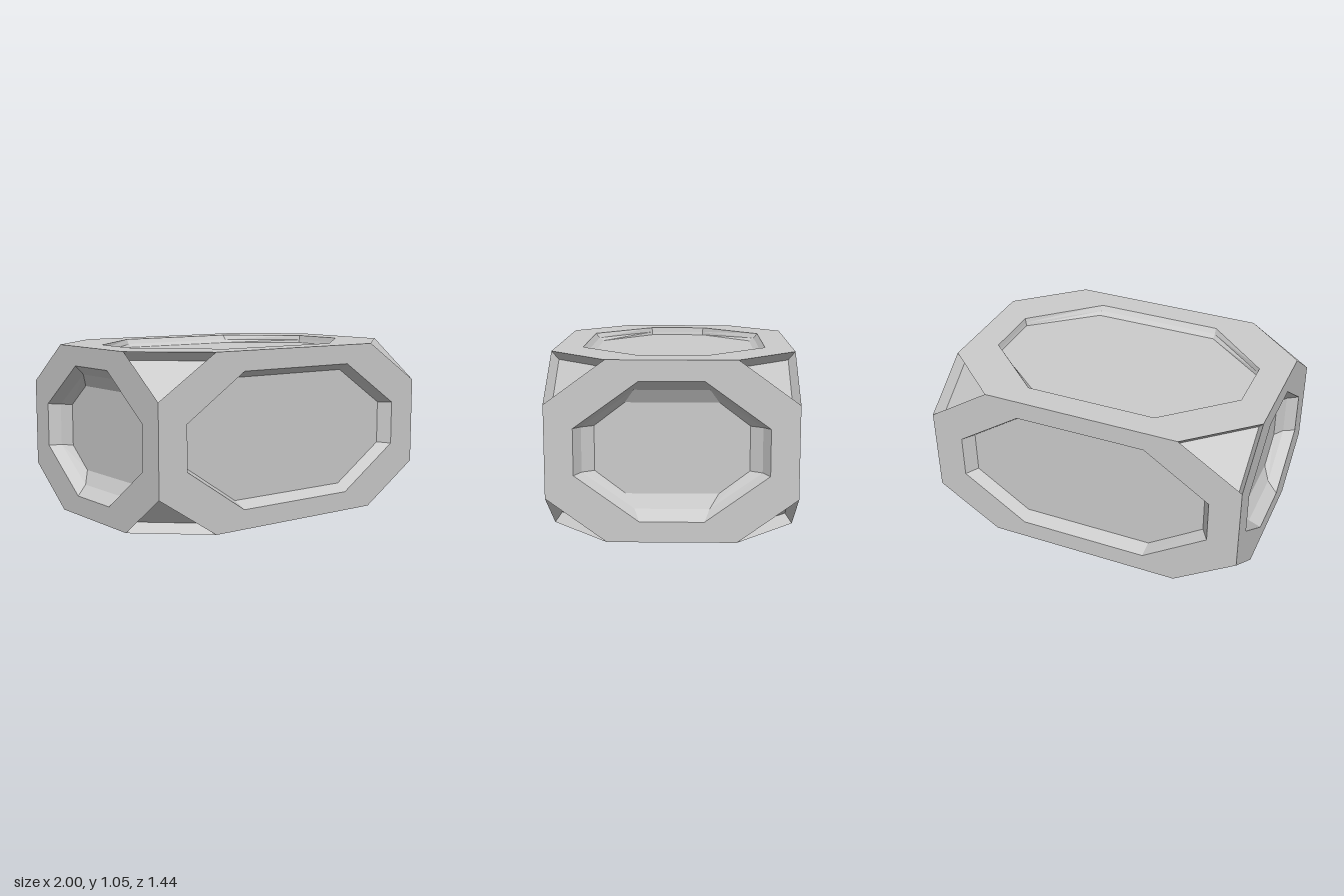
import * as THREE from 'three';

const HX = 1, HY = 0.523, HZ = 0.718;      // half sizes of the block
const CX = 0.61, CY = 0.27, CZ = 0.37;     // where the corner cuts meet the edges

const material = new THREE.MeshStandardMaterial({ color: 0xcccccc, flatShading: true });

// Counter-clockwise octagon: half extents a, b and the corner points ca, cb
function octagon(a, b, ca, cb, w) {
  return [[a, -cb], [a, cb], [ca, b], [-ca, b], [-a, cb], [-a, -cb], [-ca, -b], [ca, -b]]
    .map(([u, v]) => new THREE.Vector3(u, v, w));
}

// Joins successive rings with strips and caps the last one
function loft(name, rings) {
  const points = [];
  for (let r = 0; r < rings.length - 1; r++) {
    const a = rings[r], b = rings[r + 1];
    for (let i = 0; i < a.length; i++) {
      const j = (i + 1) % a.length;
      points.push(a[i], a[j], b[j], a[i], b[j], b[i]);
    }
  }
  const floor = rings[rings.length - 1];
  for (let i = 1; i < floor.length - 1; i++) points.push(floor[0], floor[i], floor[i + 1]);
  const geometry = new THREE.BufferGeometry().setFromPoints(points);
  geometry.computeVertexNormals();
  const mesh = new THREE.Mesh(geometry, material);
  mesh.name = name;
  return mesh;
}

export function createModel() {
  const group = new THREE.Group();
  group.name = 'facetedBlock';
  const body = new THREE.Group();
  body.name = 'body';
  body.position.y = HY;
  group.add(body);

  // Octagonal faces: rim, opening, sloping wall and sunken floor
  const frontRings = [
    octagon(HX, HY, CX, CY, HZ),
    octagon(0.81, 0.405, 0.405, 0.135, HZ),
    octagon(0.76, 0.363, 0.415, 0.132, HZ - 0.078),
  ];
  const sideRings = [
    octagon(HZ, HY, CZ, CY, HX),
    octagon(0.555, 0.403, 0.185, 0.135, HX),
    octagon(0.515, 0.345, 0.215, 0.131, HX - 0.07),
    octagon(0.445, 0.266, 0.268, 0.131, HX - 0.115),
  ];
  const topRings = [
    octagon(HX, HZ, CX, CZ, HY),
    octagon(0.81, 0.553, 0.405, 0.185, HY),
    octagon(0.805, 0.53, 0.405, 0.182, HY - 0.03),
    octagon(0.8, 0.5, 0.405, 0.18, HY - 0.05),
  ];
  const faces = [
    ['frontPanel', frontRings, 0, 0],
    ['backPanel', frontRings, 0, Math.PI],
    ['leftPanel', sideRings, 0, Math.PI / 2],
    ['rightPanel', sideRings, 0, -Math.PI / 2],
    ['topPanel', topRings, -Math.PI / 2, 0],
    ['bottomPanel', topRings, Math.PI / 2, 0],
  ];
  for (const [name, rings, rx, ry] of faces) {
    const panel = loft(name, rings);
    panel.rotation.set(rx, ry, 0);
    body.add(panel);
  }

  // Triangular corner pockets, sunk straight in along the cut's normal
  const depth = 0.075;
  const inward = new THREE.Vector3(1 / (HX - CX), 1 / (HY - CY), 1 / (HZ - CZ))
    .normalize().multiplyScalar(-depth);
  const cut = [
    new THREE.Vector3(CX, HY, HZ),
    new THREE.Vector3(HX, CY, HZ),
    new THREE.Vector3(HX, HY, CZ),
  ];
  const sunk = cut.map((p) => p.clone().add(inward));
  for (const sx of [-1, 1]) for (const sy of [-1, 1]) for (const sz of [-1, 1]) {
    const sign = new THREE.Vector3(sx, sy, sz);
    const rings = [cut, sunk].map((ring) => {
      const mirrored = ring.map((p) => p.clone().multiply(sign));
      return sx * sy * sz < 0 ? mirrored.reverse() : mirrored;
    });
    body.add(loft('cornerPocket', rings));
  }
  return group;
}
